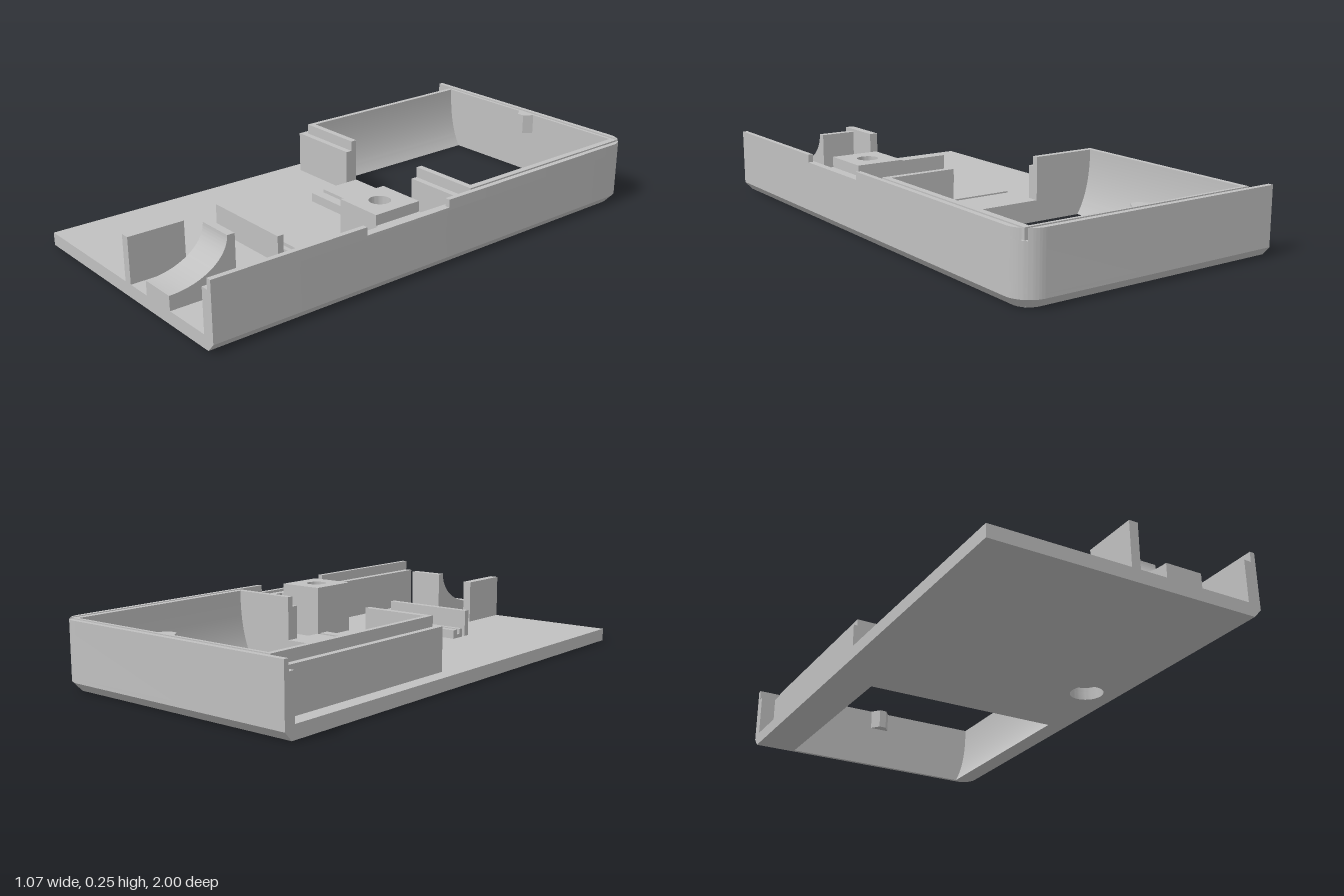
import * as THREE from 'three';
import { toCreasedNormals } from 'three/addons/utils/BufferGeometryUtils.js';

const W = 0.535, R = 0.09, CX = W - R, CZ = 0.91; // outline half width, corner radius and centre

export function createModel() {
  const group = new THREE.Group();
  const grey = new THREE.MeshStandardMaterial({ color: 0xc0c0c0 });
  grey.name = 'greyPlastic';

  const add = (name, geo) => {
    const mesh = new THREE.Mesh(toCreasedNormals(geo, 0.5), grey);
    mesh.name = name;
    group.add(mesh);
  };
  const box = (name, x0, x1, y0, y1, z0, z1) => {
    const g = new THREE.BoxGeometry(x1 - x0, y1 - y0, z1 - z0);
    g.translate((x0 + x1) / 2, (y0 + y1) / 2, (z0 + z1) / 2);
    add(name, g);
  };
  const extrude = (shape, depth) =>
    new THREE.ExtrudeGeometry(shape, { depth, bevelEnabled: false, curveSegments: 24 });
  // Plan shape (x, -z) raised from y0 to y1
  const slab = (shape, y0, y1) => extrude(shape, y1 - y0).rotateX(-Math.PI / 2).translate(0, y0, 0);
  const poly = (pts) => new THREE.Shape(pts.map(([x, y]) => new THREE.Vector2(x, y)));
  const circle = (x, z, r) => new THREE.Path().absarc(x, -z, r, 0, Math.PI * 2, true);

  // Floor with window and counterbored screw hole
  const floor = new THREE.Shape();
  floor.moveTo(-W, -1);
  floor.lineTo(W, -1);
  floor.absarc(CX, CZ, R, 0, Math.PI / 2, false);
  floor.lineTo(-W, 1);
  floor.closePath();
  floor.holes.push(poly([[-0.45, 0.16], [-0.45, 0.955], [0.49, 0.955], [0.49, 0.16]]));
  floor.holes.push(circle(0.38, 0.19, 0.065));
  add('floor', slab(floor, 0.033, 0.05));

  // Lower floor: the right and back edges lean inwards as a chamfer
  const lower = slab(floor, 0, 0.033);
  const p = lower.attributes.position;
  for (let i = 0; i < p.count; i++) {
    if (p.getY(i) > 0.01) continue;
    const x = p.getX(i), z = p.getZ(i);
    const dx = Math.max(0, x - CX), dz = Math.max(0, -z - CZ);
    const d = Math.hypot(dx, dz);
    if (d < R - 0.001) continue;
    p.setX(i, x - (dx / d) * 0.03);
    p.setZ(i, z + (dz / d) * 0.03);
  }
  lower.computeVertexNormals();
  add('chamferedFloor', lower);

  // Side and back wall with the rounded corner
  const wall = new THREE.Shape();
  wall.moveTo(0.485, -1);
  wall.lineTo(W, -1);
  wall.absarc(CX, CZ, R, 0, Math.PI / 2, false);
  wall.lineTo(-W, 1);
  wall.lineTo(-W, 0.955);
  wall.lineTo(0.485, 0.955);
  wall.closePath();
  add('outerWall', slab(wall, 0.05, 0.215));

  // Outer lips, cut off at the corner by the straight grooves
  const sideLip = new THREE.Shape();
  sideLip.moveTo(0.515, 0);
  sideLip.lineTo(W, 0);
  sideLip.absarc(CX, CZ, R, 0, Math.acos((0.515 - CX) / R), false);
  sideLip.closePath();
  add('sideLip', slab(sideLip, 0.215, 0.255));
  box('sideLipNotch', 0.515, W, 0.215, 0.225, 0, 0.38);
  box('sideLipFront', 0.515, W, 0.215, 0.255, 0.38, 1);
  const backLip = new THREE.Shape();
  backLip.moveTo(-W, 0.98);
  backLip.lineTo(CX + Math.sqrt(R * R - 0.07 * 0.07), 0.98);
  backLip.absarc(CX, CZ, R, Math.asin(0.07 / R), Math.PI / 2, false);
  backLip.lineTo(-W, 1);
  backLip.closePath();
  add('backLip', slab(backLip, 0.215, 0.255));
  box('backInnerLip', -0.45, 0.505, 0.215, 0.255, -0.968, -0.955);

  // Window side walls with curved inner faces
  const left = poly([[-0.45, 0], [-0.37, 0]]);
  left.quadraticCurveTo(-0.43, 0.09, -0.43, 0.255);
  left.lineTo(-0.45, 0.255);
  add('windowCheekLeft', extrude(left, 0.795).translate(0, 0, -0.955));
  const right = poly([[0.43, 0], [0.49, 0], [0.49, 0.05], [0.505, 0.05], [0.505, 0.255], [0.48, 0.255]]);
  right.quadraticCurveTo(0.48, 0.09, 0.43, 0);
  add('windowCheekRight', extrude(right, 0.795).translate(0, 0, -0.955));
  box('windowOuterStep', -0.475, -0.45, 0.05, 0.215, -0.955, -0.11);

  // Window front wall, in two pieces with a stepped lip
  for (const [x0, x1, l0, l1] of [[-0.45, -0.165, -0.45, -0.165], [0.22, 0.485, 0.22, 0.505]]) {
    box('windowFrontWall', x0, x1, 0.05, 0.215, -0.16, -0.11);
    box('windowFrontLip', l0, l1, 0.215, 0.255, -0.16, -0.135);
  }

  // Catch on the back wall
  add('catch', slab(poly([[-0.012, 0.956], [0.015, 0.92], [0.045, 0.92], [0.072, 0.956]]), 0.175, 0.255));

  // Low grooved platform and ridges: z start, z end, top
  const ridges = [
    ['platform', -0.16, 0.01, 0.085], ['platformGroove', 0.01, 0.03, 0.07], ['platformEdge', 0.03, 0.07, 0.085],
    ['lowRidge', 0.415, 0.44, 0.085], ['ridgeGroove', 0.44, 0.457, 0.065], ['lowRidge', 0.457, 0.475, 0.085],
    ['tallRidge', 0.495, 0.52, 0.155],
  ];
  for (const [name, z0, z1, top] of ridges) box(name, -0.165, 0.22, 0.05, top, z0, z1);

  // Screw boss
  const boss = poly([[0.285, -0.29], [0.475, -0.29], [0.475, -0.09], [0.285, -0.09]]);
  boss.holes.push(circle(0.38, 0.19, 0.04));
  add('screwBoss', slab(boss, 0.05, 0.255));
  box('bossWeb', 0.475, 0.485, 0.05, 0.215, 0.09, 0.29);

  // Upright rib and curved cradle at the front
  box('frontRib', 0, 0.035, 0.05, 0.225, 0.78, 1);
  const cradle = poly([[-1, 0.05], [-0.74, 0.05], [-0.74, 0.252], [-0.77, 0.252]]);
  cradle.absellipse(-1, 0.252, 0.23, 0.147, 0, -Math.PI / 2, true);
  cradle.closePath();
  add('cradle', extrude(cradle, 0.145).rotateY(Math.PI / 2).translate(0.14, 0, 0));

  return group;
}
